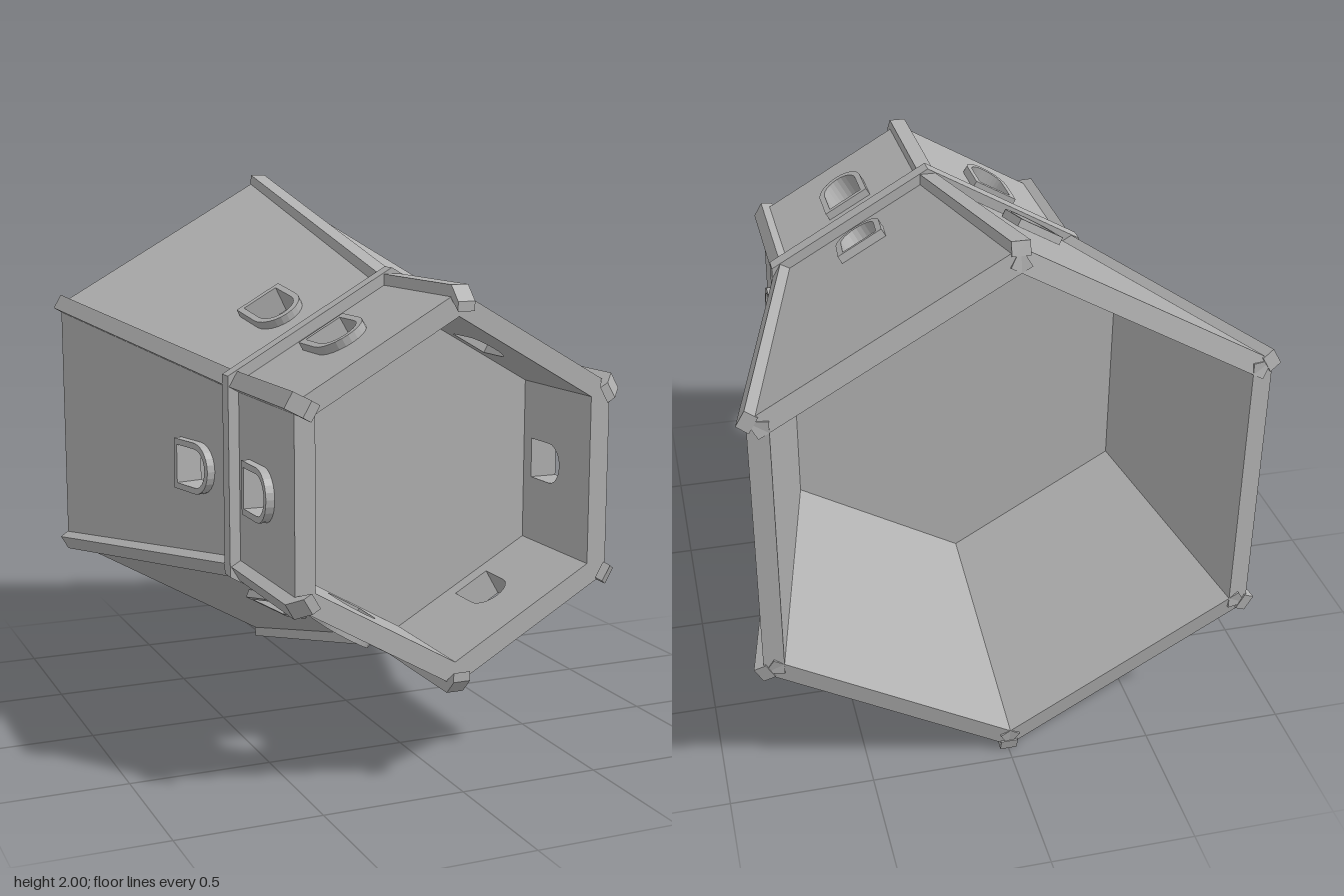
import * as THREE from 'three';

const stone = new THREE.MeshStandardMaterial({ color: 0xb0b0b0 });
stone.name = 'stone grey';

const SIDES = 6;
const WALL = 0.07;          // wall thickness
const FRONT_AP = 0.566;     // distance from axis to a front wall
const REAR_AP = 0.849;      // distance from axis to the wide end of a rear wall
const Z_AXIS = new THREE.Vector3(0, 0, 1);

const extrude = (shape, depth, z = 0) =>
  new THREE.ExtrudeGeometry(shape, { depth, bevelEnabled: false, curveSegments: 6 }).translate(0, 0, z);

function mesh(name, geometry) {
  const m = new THREE.Mesh(geometry, stone);
  m.name = name;
  return m;
}

const polygon = (points) => new THREE.Shape(points.map(([x, y]) => new THREE.Vector2(x, y)));

function hexagon(radius) {
  const points = [];
  for (let i = 0; i < SIDES; i++) {
    const a = Math.PI / 6 + (i * Math.PI) / 3;
    points.push([radius * Math.cos(a), radius * Math.sin(a)]);
  }
  return polygon(points);
}

// Round-headed window outline, flat at v0 and arched towards v1
function arch(halfWidth, v0, v1) {
  const s = new THREE.Shape();
  const c = 0.013;
  s.moveTo(c - halfWidth, v0);
  s.lineTo(c + halfWidth, v0);
  s.lineTo(c + halfWidth, v1 - halfWidth);
  s.absarc(c, v1 - halfWidth, halfWidth, 0, Math.PI, false);
  s.closePath();
  return s;
}

// One wall with its window and raised frame: x across, y forwards, z outwards
function wallPanel(name, ap0, ap1, length, windowStart) {
  const g = new THREE.Group();
  g.name = name;
  const w0 = ap0 / Math.sqrt(3);
  const w1 = ap1 / Math.sqrt(3);
  const hole = () => arch(0.07, windowStart + 0.02, windowStart + 0.215);

  const wall = polygon([[-w0, 0], [w0, 0], [w1, length], [-w1, length]]);
  wall.holes.push(hole());
  g.add(mesh('wall', extrude(wall, WALL, -WALL)));

  const frame = arch(0.092, windowStart, windowStart + 0.237);
  frame.holes.push(hole());
  g.add(mesh('windowFrame', extrude(frame, 0.035, -0.005)));
  return g;
}

// Place a panel on the side at the given angle, leaning from (ap0, z0) to (ap1, z1)
function placePanel(panel, angle, ap0, z0, ap1, z1) {
  const radial = new THREE.Vector3(Math.cos(angle), Math.sin(angle), 0);
  const along = radial.clone().multiplyScalar(ap1 - ap0).addScaledVector(Z_AXIS, z1 - z0).normalize();
  const tangent = new THREE.Vector3().crossVectors(Z_AXIS, radial);
  const normal = new THREE.Vector3().crossVectors(tangent, along);
  const basis = new THREE.Matrix4().makeBasis(tangent, along, normal);
  panel.quaternion.setFromRotationMatrix(basis);
  panel.position.copy(radial).multiplyScalar(ap0);
  panel.position.z = z0;
}

// Corner rib from a profile of [z, radius] points
function cornerRib(name, profile, angle) {
  const rib = mesh(name, extrude(polygon(profile), 0.06, -0.03));
  const radial = new THREE.Vector3(Math.cos(angle), Math.sin(angle), 0);
  const tangent = new THREE.Vector3().crossVectors(Z_AXIS, radial);
  rib.quaternion.setFromRotationMatrix(new THREE.Matrix4().makeBasis(Z_AXIS, radial, tangent));
  return rib;
}

export function createModel() {
  const root = new THREE.Group();
  root.name = 'hexagonalTower';
  const body = new THREE.Group();
  body.name = 'body';
  body.position.y = 1;
  root.add(body);

  const rearZ = -0.955, joinZ = 0.35, frontStart = 0.33, frontEnd = 0.93;
  const slant = Math.hypot(joinZ - rearZ, REAR_AP - FRONT_AP);

  // Front ribs hook inwards over the rim; rear ribs follow the flare
  const frontProfile = [[0.38, 0.635], [0.925, 0.635], [0.98, 0.593], [0.98, 0.625], [0.93, 0.675], [0.38, 0.675]];
  const rearProfile = [[-0.963, 0.955], [0.38, 0.625], [0.38, 0.67], [-0.95, 1.0]];

  for (let i = 0; i < SIDES; i++) {
    const side = (i * Math.PI) / 3;
    const corner = side + Math.PI / 6;

    const front = wallPanel('frontWall', FRONT_AP, FRONT_AP, frontEnd - frontStart, 0.185);
    placePanel(front, side, FRONT_AP, frontStart, FRONT_AP, frontEnd);

    const rear = wallPanel('rearWall', REAR_AP, FRONT_AP, slant, 0.97);
    placePanel(rear, side, REAR_AP, rearZ, FRONT_AP, joinZ);

    body.add(front, rear,
      cornerRib('frontRib', frontProfile, corner),
      cornerRib('rearRib', rearProfile, corner));
  }

  // Raised band around the joint
  const band = hexagon(0.697);
  band.holes.push(hexagon(0.6));
  body.add(mesh('band', extrude(band, 0.06, 0.35)));

  // Inner floors closing the two open ends
  body.add(mesh('frontFloor', extrude(hexagon(0.6), 0.03, 0.45)));
  body.add(mesh('rearFloor', extrude(hexagon(0.72), 0.03, -0.12)));

  return root;
}
